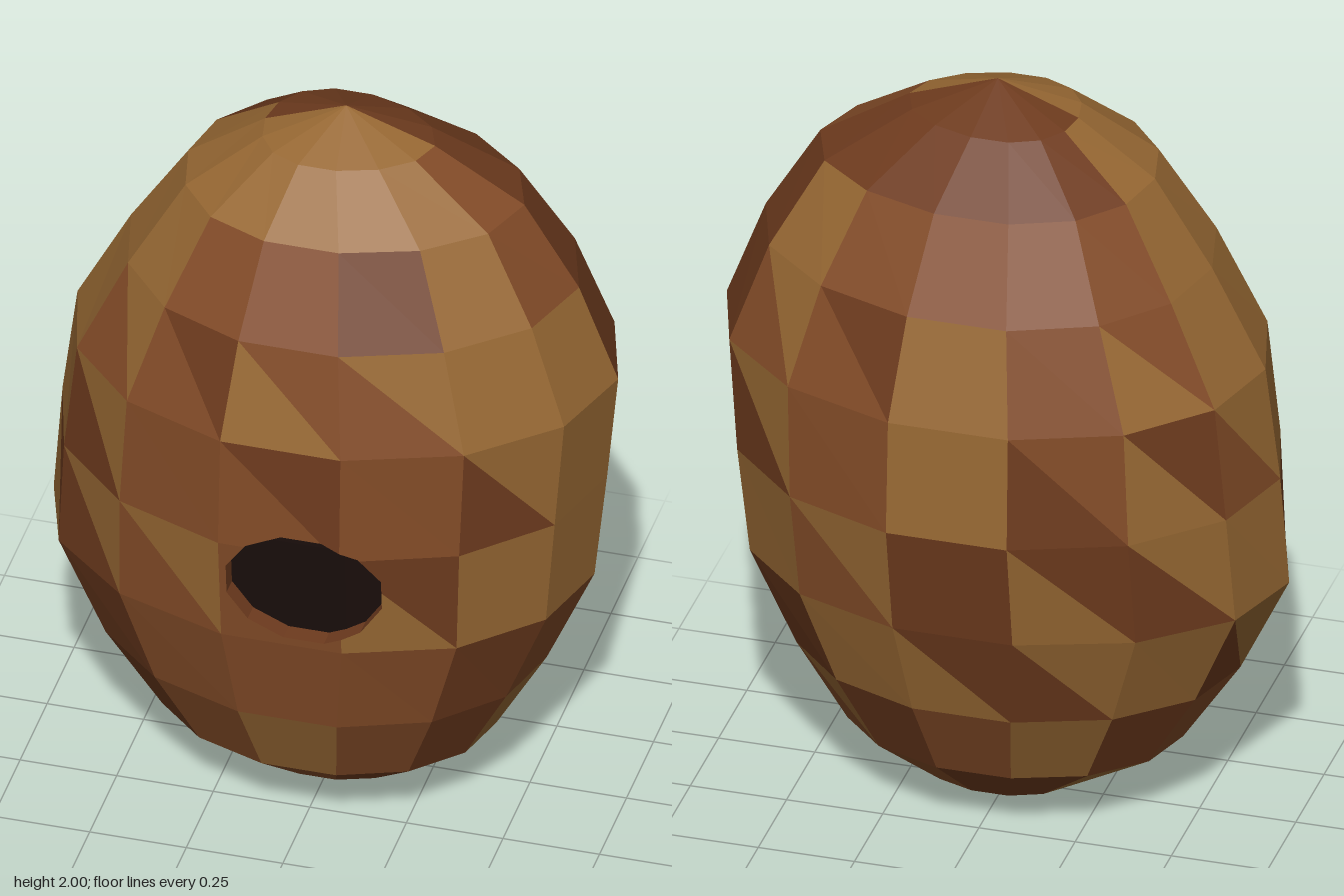
import * as THREE from 'three';

const SEG = 14;
const COLORS = { t: 0x976833, m: 0x824b27, r: 0x6e3b1e };
const NAMES = { t: 'tanFacets', m: 'brownFacets', r: 'redBrownFacets' };

// rings from top to bottom: y, xMin, xMax, zBack, zFront
const RINGS = [
  [2.0, 0.03, 0.03, 0.02, 0.02], [1.92, -0.18, 0.26, -0.15, 0.19],
  [1.78, -0.38, 0.49, -0.31, 0.34], [1.55, -0.53, 0.63, -0.44, 0.46],
  [1.285, -0.67, 0.73, -0.52, 0.53], [0.98, -0.71, 0.70, -0.54, 0.54],
  [0.68, -0.73, 0.67, -0.49, 0.51], [0.41, -0.6, 0.55, -0.41, 0.455],
  [0.185, -0.45, 0.42, -0.30, 0.35], [0.045, -0.20, 0.23, -0.15, 0.18],
  [0, 0, 0, 0, 0],
];

// facet colours per row, starting at the right side and running across the front;
// each letter gives the upper and the lower triangle of one quad
const PAIRS = { T: 'tt', M: 'mm', R: 'rr', A: 'tr', B: 'rt', C: 'tm', D: 'mt', E: 'rm', F: 'mr' };
const PATTERN = [
  'TTTTTTTRRRRRRR',
  'TTTTTTMRRRRRRT',
  'TTMMRTMRTMMMMT',
  'TCEDCTTRCETMDT',
  'TAMEMATBAMTFBC',
  'BACMBTTRTCRBAT',
  'TRMMMRMMRTBATA',
  'TRMTMRTMCRMTRM',
  'TTTMRTTRTMRRTT',
  'TTTTTTTTTTTTTT',
];

// twelve-sided opening on the front, counter-clockwise
const HOLE = { x: 0.057, y: 0.865, rx: 0.203, ry: 0.168, depth: 0.05 };
const RIM = Array.from({ length: 12 }, (_, k) => {
  const a = ((k + 0.5) / 12) * Math.PI * 2;
  return new THREE.Vector2(HOLE.x + HOLE.rx * Math.cos(a), HOLE.y + HOLE.ry * Math.sin(a));
});

// one vertex of the shell, column i of ring j; only the flanks follow the sideways lean
function point(i, j) {
  const [y, x0, x1, z0, z1] = RINGS[j];
  const a = (i / SEG) * Math.PI * 2;
  const rx = (x1 - x0) / 2;
  const lean = rx > 0 ? Math.cos(a) ** 2 : 1;
  return new THREE.Vector3(
    ((x0 + x1) / 2) * lean - rx * Math.cos(a), y,
    (z0 + z1) / 2 + ((z1 - z0) / 2) * 1.025 * Math.sin(a));
}

// part of a convex polygon on one side (sign) of the line a-b, seen from the front
function clip(poly, a, b, sign) {
  const dist = (p) => sign * ((b.x - a.x) * (p.y - a.y) - (b.y - a.y) * (p.x - a.x));
  const out = [];
  poly.forEach((p, n) => {
    const q = poly[(n + 1) % poly.length];
    const dp = dist(p), dq = dist(q);
    if (dp >= 0) out.push(p);
    if (dp * dq < 0) out.push(p.clone().lerp(q, dp / (dp - dq)));
  });
  return out;
}

// convex polygon as a fan of triangles
function addFan(target, poly) {
  for (let n = 1; n < poly.length - 1; n++) target.push(poly[0], poly[n], poly[n + 1]);
}

// whether an edge runs along the border of the opening
function onRim(p, q) {
  const mid = p.clone().add(q).divideScalar(2);
  return [p, mid, q].every((v) => Math.hypot((v.x - HOLE.x) / HOLE.rx, (v.y - HOLE.y) / HOLE.ry) > 0.96);
}

function mesh(name, points, color, side = THREE.FrontSide) {
  const geometry = new THREE.BufferGeometry().setFromPoints(points);
  geometry.computeVertexNormals();
  const m = new THREE.Mesh(geometry, new THREE.MeshStandardMaterial({ color, flatShading: true, side }));
  m.name = name;
  return m;
}

export function createModel() {
  const group = new THREE.Group();
  group.name = 'facetedShell';
  const facets = { t: [], m: [], r: [] };
  const wall = [], floor = [];

  // cut the opening out of a facet; the piece cut away becomes floor and wall of the recess
  function addCutFacet(target, triangle) {
    let rest = triangle;
    RIM.forEach((a, k) => {
      const b = RIM[(k + 1) % RIM.length];
      addFan(target, clip(rest, a, b, -1));
      rest = clip(rest, a, b, 1);
    });
    const sunk = rest.map((p) => new THREE.Vector3(p.x, p.y, p.z - HOLE.depth));
    addFan(floor, sunk);
    rest.forEach((p, n) => {
      const m = (n + 1) % rest.length;
      if (onRim(p, rest[m])) wall.push(p, rest[m], sunk[n], rest[m], sunk[m], sunk[n]);
    });
  }

  // shell facets
  for (let j = 0; j < 10; j++) {
    for (let i = 0; i < SEG; i++) {
      const [upper, lower] = PAIRS[PATTERN[j][i]];
      const a = point(i + 1, j), b = point(i, j), c = point(i, j + 1), d = point(i + 1, j + 1);
      const nearOpening = (j === 4 || j === 5) && i >= 2 && i <= 4;
      if (nearOpening) {
        addCutFacet(facets[upper], [a, b, d]);
        addCutFacet(facets[lower], [b, c, d]);
      } else {
        if (j > 0) facets[upper].push(a, b, d);
        if (j < 9) facets[lower].push(b, c, d);
      }
    }
  }

  for (const key of Object.keys(facets)) group.add(mesh(NAMES[key], facets[key], COLORS[key]));
  group.add(mesh('openingWall', wall, COLORS.r, THREE.DoubleSide));
  group.add(mesh('openingFloor', floor, 0x1a0e0c));
  return group;
}
